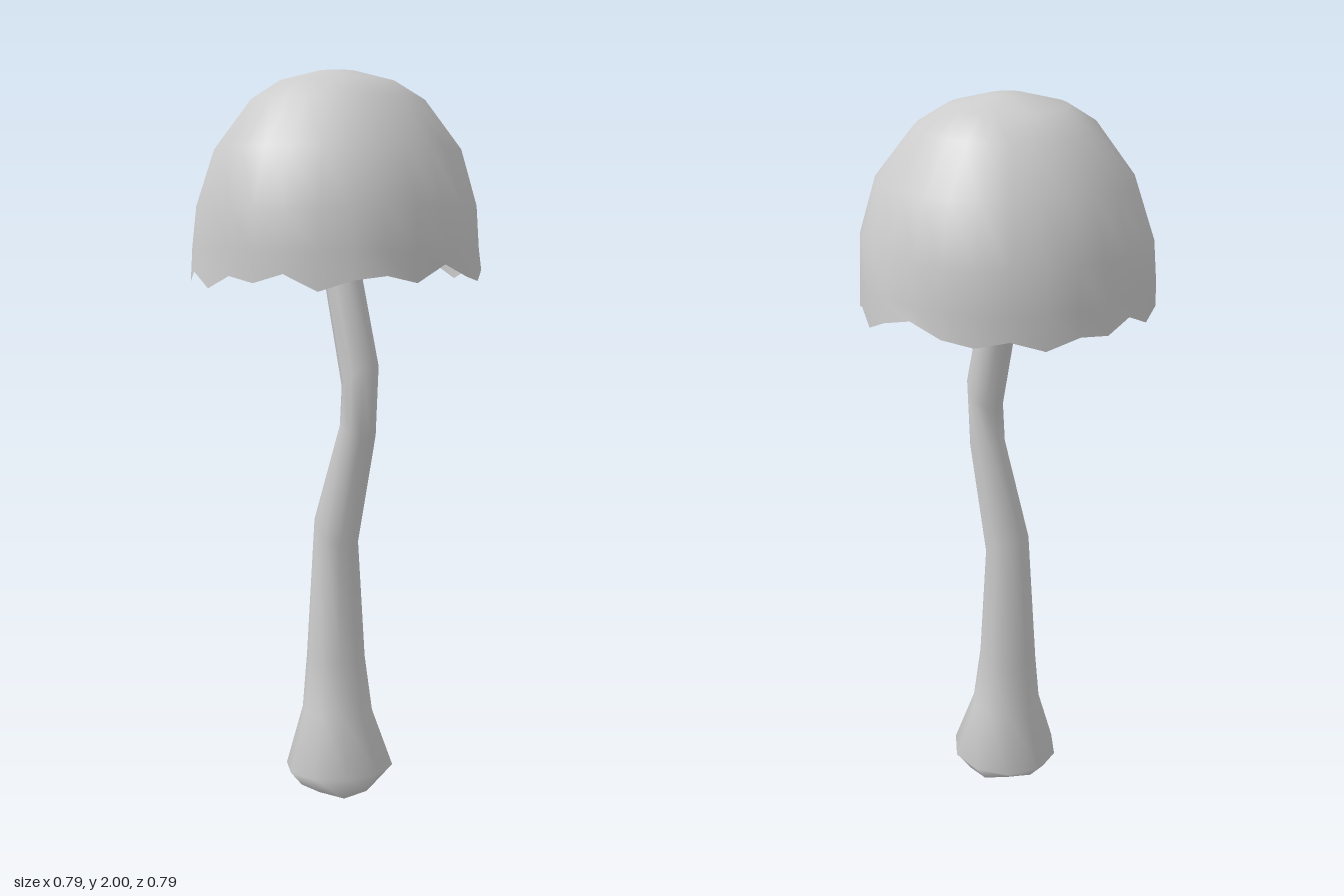
import * as THREE from 'three';
import { mergeVertices } from 'three/addons/utils/BufferGeometryUtils.js';

const material = new THREE.MeshStandardMaterial({ color: 0xcccccc, side: THREE.DoubleSide });

// Lathe a profile of [radius, height], move its vertices by a rule, and smooth it without a seam
function shapedLathe(name, profile, sides, rule) {
  const lathe = new THREE.LatheGeometry(profile.map(([r, y]) => new THREE.Vector2(r, y)), sides);
  const pos = lathe.attributes.position;
  const v = new THREE.Vector3();
  for (let i = 0; i < pos.count; i++) {
    v.fromBufferAttribute(pos, i);
    const ring = i % profile.length;
    const side = Math.floor(i / profile.length) % sides;
    rule(v, ring, side);
    pos.setXYZ(i, v.x, v.y, v.z);
  }
  lathe.deleteAttribute('uv');
  lathe.deleteAttribute('normal');
  const geometry = mergeVertices(lathe, 1e-4);
  geometry.computeVertexNormals();
  const mesh = new THREE.Mesh(geometry, material);
  mesh.name = name;
  return mesh;
}

// Crooked hollow stem: height, centre x, centre z, radius, slope of the ring towards +z
const stemRings = [
  [0.01, 0, 0.005, 0.115, 0],
  [0.06, 0.005, 0.005, 0.153, 0.05],
  [0.225, 0.002, 0.0, 0.1, 0],
  [0.38, 0.003, -0.007, 0.083, 0],
  [0.74, 0.008, -0.01, 0.062, -0.6],
  [1.03, 0.02, 0.062, 0.05, -0.3],
  [1.18, 0.023, 0.068, 0.051, 0.7],
  [1.45, 0.021, 0.003, 0.051, 0.3],
  [1.92, 0.02, -0.13, 0.047, 0.3],
];

function createStem() {
  const profile = stemRings.map(([y, , , r]) => [r, y]);
  return shapedLathe('stem', profile, 10, (v, ring, side) => {
    const [, cx, cz, , slope] = stemRings[ring];
    v.y += slope * v.z;
    if (ring === 0) v.y += 0.01 * Math.sin(side * 1.9);
    v.x += cx;
    v.z += cz;
  });
}

// Thin dome cap with a ragged rim; each rim tooth has its own drop
const rimDrops = [
  0.035, 0.0, -0.015, 0.01, -0.02, 0.005, -0.025, 0.012, 0.035, 0.0,
  -0.012, 0.006, -0.02, 0.008, -0.005, 0.022, -0.015, 0.004, -0.022, 0.01,
  -0.03, 0.005, -0.01, 0.015, -0.028, 0.0, 0.01, -0.01,
];

function createCap() {
  const profile = [
    [0.394, 1.46], [0.39, 1.53], [0.382, 1.64], [0.335, 1.79],
    [0.235, 1.92], [0.155, 1.97], [0.05, 1.997], [0, 2],
  ];
  return shapedLathe('cap', profile, rimDrops.length, (v, ring, side) => {
    // Slight unevenness around the dome
    const a = (side / rimDrops.length) * Math.PI * 2;
    const wobble = 1 + 0.012 * Math.sin(5 * a + ring) + 0.006 * Math.sin(9 * a);
    v.x *= wobble;
    v.z *= wobble;
    if (ring === 0) v.y += rimDrops[side];
  });
}

export function createModel() {
  const model = new THREE.Group();
  model.name = 'mushroom';
  model.add(createStem(), createCap());
  return model;
}
